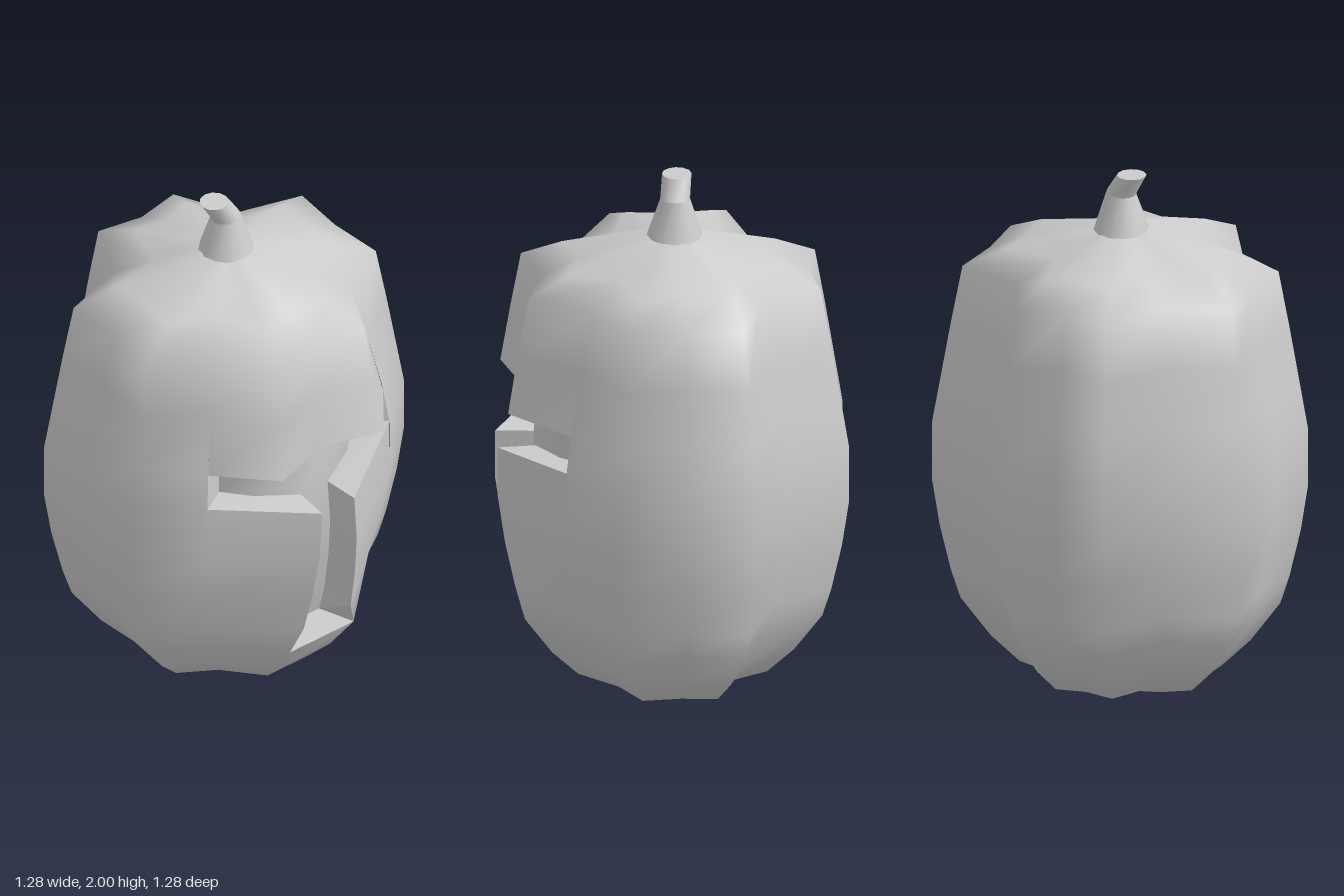
import * as THREE from 'three';
import { mergeGeometries, mergeVertices } from 'three/addons/utils/BufferGeometryUtils.js';

// Height, scale of the ribs, scale of the grooves
const PROFILE = [
  [0, 0.29, 0.26], [0.06, 0.54, 0.50], [0.16, 0.69, 0.64], [0.31, 0.85, 0.80],
  [0.42, 0.90, 0.87], [0.6, 0.96, 0.95], [0.78, 1, 1], [1.0, 1, 1], [1.18, 0.955, 0.95],
  [1.4, 0.90, 0.86], [1.62, 0.84, 0.75], [1.69, 0.61, 0.49], [1.74, 0.36, 0.31], [1.78, 0.15, 0.14],
];
const LEVELS = PROFILE.map((p) => p[0]);

function scaleAt(y, k) {
  let i = 0;
  while (i < PROFILE.length - 2 && PROFILE[i + 1][0] < y) i++;
  const a = PROFILE[i], b = PROFILE[i + 1];
  return THREE.MathUtils.lerp(a[k], b[k], (y - a[0]) / (b[0] - a[0]));
}

// Plan points: x, z, 1 = rib or 2 = groove
const GROOVE = [0.43, 0.41, 2];
const SIDE = [GROOVE, [0.64, 0.23, 1], [0.62, -0.03, 1], [0.64, -0.28, 1], [0.38, -0.41, 2], [0.21, -0.64, 1]];
const mirrorPlan = (list) => list.map(([x, z, k]) => [-x, z, k]).reverse();
const BACK = [...SIDE, [0, -0.60, 1], ...mirrorPlan(SIDE)];
const BROW = [[-0.43, 0.41, 2], [-0.25, 0.64, 1], [0, 0.565, 1], [0.25, 0.64, 1], GROOVE];

const at = ([x, z, k], y) => {
  const s = scaleAt(y, k);
  return [x * s, y, z * s];
};
const flip = ([x, y, z]) => [-x, y, z];

// Surface through rows of points: columns run right, rows run up, seen from outside
function grid(rows) {
  const pos = [];
  for (let i = 0; i < rows.length - 1; i++) {
    for (let j = 0; j < rows[i].length - 1; j++) {
      const a = rows[i][j], b = rows[i][j + 1], c = rows[i + 1][j + 1], d = rows[i + 1][j];
      pos.push(...a, ...b, ...c, ...a, ...c, ...d);
    }
  }
  const g = new THREE.BufferGeometry();
  g.setAttribute('position', new THREE.Float32BufferAttribute(pos, 3));
  return g;
}

function smooth(geos) {
  const g = mergeVertices(mergeGeometries(geos), 1e-4);
  g.computeVertexNormals();
  return g;
}

function flat(geos) {
  const g = mergeGeometries(geos);
  g.computeVertexNormals();
  return g;
}

// Edge of the nose slit on the +x side
function noseEdge(y) {
  const s = scaleAt(y, 1);
  let x = 0.176 * s;
  if (y > 0.42) x = THREE.MathUtils.lerp(0.11, 0.075, (y - 0.42) / 0.55);
  else if (y > 0.31) x = THREE.MathUtils.lerp(0.15, 0.11, (y - 0.31) / 0.11);
  return [x, y, 0.64 * s];
}

export function createModel() {
  const model = new THREE.Group();
  const grey = new THREE.MeshStandardMaterial({ color: 0xcccccc });
  const greyDouble = new THREE.MeshStandardMaterial({ color: 0xcccccc, side: THREE.DoubleSide });
  const add = (name, geometry, material = grey) => {
    const mesh = new THREE.Mesh(geometry, material);
    mesh.name = name;
    model.add(mesh);
  };

  // Ribbed skin: sides and back, brow, chin and the two cheeks
  const close = (row, y) => row.map(() => [0, y, 0]);
  const backRows = LEVELS.map((y) => BACK.map((p) => at(p, y)));
  const browRows = LEVELS.filter((y) => y >= 1.18).map((y) =>
    BROW.map((p) => at(p, y === 1.18 && p[2] === 2 ? 1.16 : y)));
  const chinRows = LEVELS.filter((y) => y <= 0.31).map((y) => {
    const g = at(GROOVE, y), n = noseEdge(y);
    return [flip(g), flip(n), n, g];
  });
  const slit = [0.31, 0.42, 0.6, 0.78, 0.97];
  const cheekRows = slit.map((y) => [noseEdge(y), at(GROOVE, y === 0.97 ? 1.02 : y)]);
  const leftCheek = grid(cheekRows);
  const rightCheek = grid(cheekRows.map((r) => r.map(flip).reverse()));
  add('ribbedSkin', smooth([
    grid([...backRows, close(BACK, 1.78)]),
    grid([...browRows, close(BROW, 1.78)]),
    grid(chinRows), leftCheek, rightCheek,
  ]));
  add('base', flat([
    grid([close(BACK, 0), backRows[0]]),
    grid([close(chinRows[0], 0), chinRows[0]]),
  ]));

  // Walls of the T-shaped opening, from outer edge to inner edge
  const innerNose = slit.map((y) => {
    const [x, , z] = noseEdge(y);
    return [Math.min(x - 0.012, 0.1), y, z - 0.14];
  });
  const outer = [
    browRows[0][2], browRows[0][3], browRows[0][4], at(GROOVE, 1.02),
    ...slit.map(noseEdge).reverse(), [0, 0.31, noseEdge(0.31)[2]],
  ];
  const inner = [
    [0, 1.155, 0.48], [0.22, 1.15, 0.45], [0.31, 1.135, 0.33], [0.31, 1.0, 0.33],
    ...[...innerNose].reverse(), [0, 0.31, innerNose[0][2]],
  ];
  add('openingWalls', flat([
    grid([outer, inner]),
    grid([outer.map(flip), inner.map(flip)]),
  ]), greyDouble);

  // Wall behind the opening
  const nose = innerNose[innerNose.length - 1];
  const low = [nose, [0.22, 0.988, 0.42], inner[3]];
  const high = [[nose[0], 1.155, 0.48], inner[1], inner[2]];
  const across = (row) => [...row.map(flip).reverse(), ...row];
  add('innerWall', smooth([
    grid([across(low), across(high)]),
    grid(innerNose.map((p) => [flip(p), p])),
  ]), greyDouble);

  // Bent stem
  const ring = (cx, y, cz, r) => Array.from({ length: 13 }, (_, i) => {
    const a = (i / 12) * Math.PI * 2;
    return [cx + r * Math.sin(a), y, cz + r * Math.cos(a)];
  });
  const foot = ring(0, 1.775, -0.012, 0.103);
  const bend = ring(0, 1.92, -0.015, 0.055).map(([x, y, z]) => [x, y + x * 0.1, z]);
  const tip = ring(-0.047, 2, -0.024, 0.054);
  add('stemBase', smooth([grid([foot, bend])]));
  add('stemTip', smooth([grid([bend, tip])]));
  add('stemCut', flat([grid([tip, tip.map(() => [-0.047, 2, -0.024])])]));

  return model;
}
